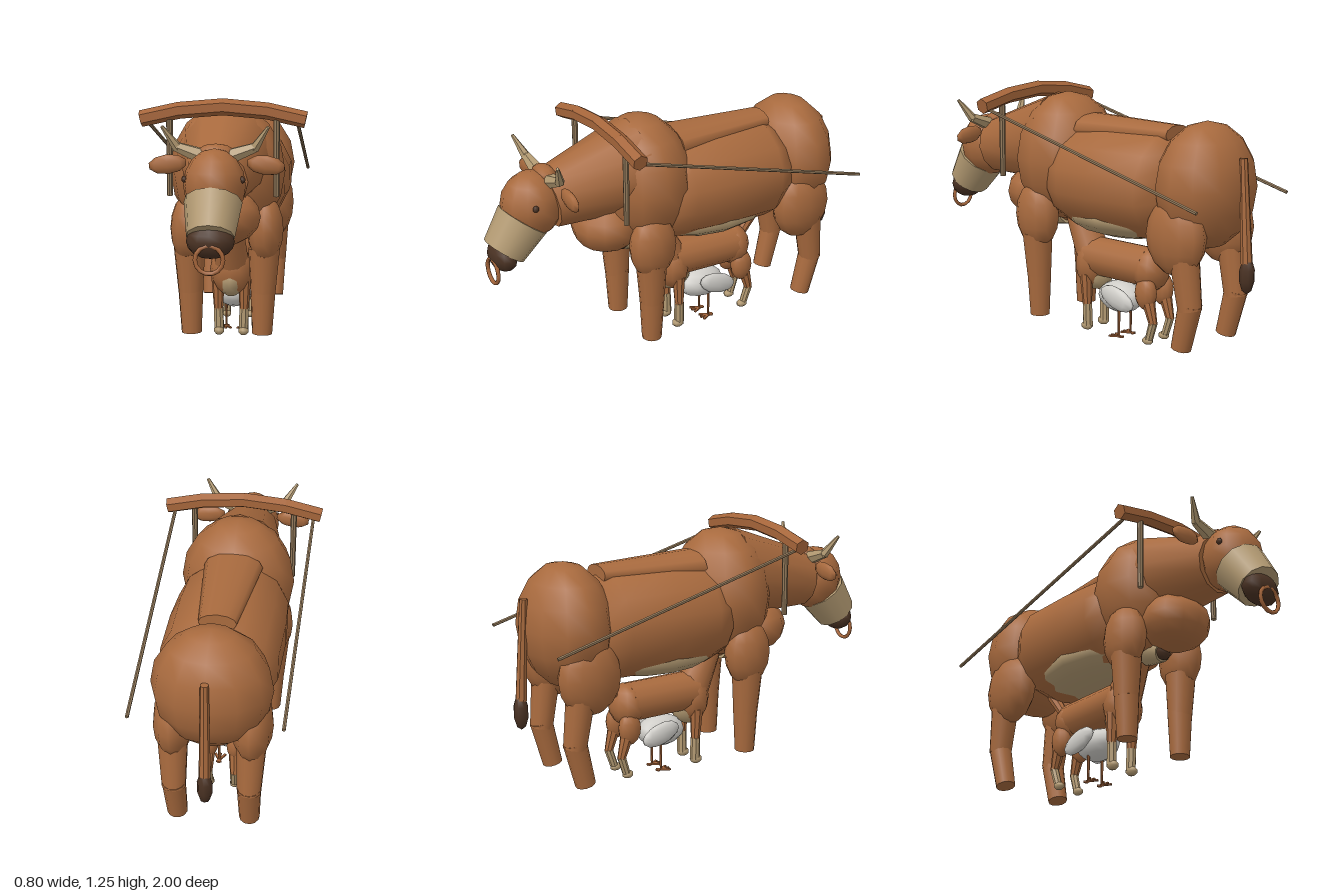
import * as THREE from 'three';
import { toCreasedNormals } from 'three/addons/utils/BufferGeometryUtils.js';

const paint = (name, color) => {
  const m = new THREE.MeshStandardMaterial({ color });
  m.name = name;
  return m;
};

export function createModel() {
  const model = new THREE.Group();
  model.name = 'yokedOx';
  const hide = paint('brown hide', 0xa86a3e);
  const tan = paint('pale tan', 0xb39a72);
  const dark = paint('dark brown', 0x4a3223);
  const white = paint('white feathers', 0xcfcdc8);
  const rope = paint('rope', 0x92795a);
  const wood = paint('yoke wood', 0xa5653a);

  const add = (group, name, geometry, material) => {
    const mesh = new THREE.Mesh(geometry, material);
    mesh.name = name;
    group.add(mesh);
    return mesh;
  };
  // Ellipsoid with given centre and radii
  const ball = (group, name, material, pos, radii, rot = [0, 0, 0], seg = 12) => {
    const mesh = add(group, name, new THREE.SphereGeometry(1, seg, Math.round(seg * 0.66)), material);
    mesh.position.set(...pos);
    mesh.scale.set(...radii);
    mesh.rotation.set(...rot);
    return mesh;
  };
  // Tapered cylinder from point a to point b
  const limb = (group, name, material, a, b, ra, rb, seg = 12) => {
    const p = new THREE.Vector3(...a), q = new THREE.Vector3(...b);
    const d = q.clone().sub(p);
    let geometry = new THREE.CylinderGeometry(rb, ra, d.length(), seg);
    if (seg <= 8) geometry = toCreasedNormals(geometry, 0.6);
    const mesh = add(group, name, geometry, material);
    mesh.position.copy(p).add(q).multiplyScalar(0.5);
    mesh.quaternion.setFromUnitVectors(new THREE.Vector3(0, 1, 0), d.normalize());
    return mesh;
  };
  const part = (name) => {
    const g = new THREE.Group();
    g.name = name;
    model.add(g);
    return g;
  };

  // Ox torso
  const ox = part('ox');
  const profile = [[0, -0.64], [0.2, -0.62], [0.27, -0.5], [0.275, -0.2], [0.265, 0], [0.235, 0.09], [0.15, 0.16], [0, 0.18]];
  const barrel = add(ox, 'barrel', new THREE.LatheGeometry(profile.map((p) => new THREE.Vector2(...p)), 14), hide);
  barrel.rotation.x = Math.PI / 2;
  barrel.position.y = 0.8;
  barrel.scale.x = 1.06;
  ball(ox, 'bellyPatch', tan, [0, 0.63, -0.22], [0.235, 0.115, 0.37]);
  ball(ox, 'shoulderHump', hide, [0, 0.88, 0.17], [0.285, 0.33, 0.25]);
  ball(ox, 'rump', hide, [0, 0.83, -0.715], [0.285, 0.305, 0.22]);
  ball(ox, 'brisket', hide, [0, 0.68, 0.37], [0.18, 0.14, 0.17]);
  const spine = add(ox, 'backRidge', new THREE.CylinderGeometry(0.145, 0.09, 0.54, 12), hide);
  spine.rotation.x = Math.PI / 2 + 0.02;
  spine.scale.z = 0.48;
  spine.position.set(0, 1.05, -0.27);

  // Neck and head
  limb(ox, 'neck', hide, [0, 0.97, 0.2], [0, 0.885, 0.68], 0.235, 0.145);
  ball(ox, 'head', hide, [0, 0.88, 0.76], [0.142, 0.165, 0.155]);
  ball(ox, 'poll', hide, [0, 1.025, 0.69], [0.085, 0.035, 0.05], [0, 0, 0], 8);
  limb(ox, 'muzzle', tan, [0, 0.81, 0.812], [0, 0.67, 0.917], 0.132, 0.108);
  ball(ox, 'nose', dark, [0, 0.652, 0.925], [0.108, 0.078, 0.065]);
  const ring = add(ox, 'noseRing', new THREE.TorusGeometry(0.062, 0.01, 6, 14), wood);
  ring.position.set(0, 0.578, 0.978);

  // Tail
  limb(ox, 'tail', hide, [0, 0.98, -0.925], [0, 0.49, -0.955], 0.02, 0.028, 8);
  ball(ox, 'tailTuft', dark, [0, 0.435, -0.958], [0.038, 0.09, 0.038], [0, 0, 0], 8);

  for (const s of [1, -1]) {
    // Face details
    ball(ox, 'eye', dark, [s * 0.13, 0.91, 0.8], [0.014, 0.016, 0.016], [0, 0, 0], 8);
    limb(ox, 'hornBase', tan, [s * 0.07, 1.005, 0.69], [s * 0.18, 1.045, 0.695], 0.037, 0.024, 6);
    limb(ox, 'hornTip', tan, [s * 0.175, 1.04, 0.695], [s * 0.24, 1.14, 0.735], 0.024, 0.008, 6);
    ball(ox, 'ear', hide, [s * 0.225, 0.962, 0.67], [0.09, 0.045, 0.022], [0, 0, s * -0.12], 8);
    // Front leg
    ball(ox, 'frontShoulder', hide, [s * 0.19, 0.595, 0.21], [0.09, 0.17, 0.125]);
    limb(ox, 'frontUpperLeg', hide, [s * 0.185, 0.5, 0.215], [s * 0.18, 0.28, 0.21], 0.078, 0.062);
    limb(ox, 'frontLowerLeg', hide, [s * 0.18, 0.3, 0.21], [s * 0.176, 0.07, 0.21], 0.063, 0.05);
    // Hind leg
    ball(ox, 'thigh', hide, [s * 0.185, 0.61, -0.685], [0.098, 0.19, 0.165]);
    limb(ox, 'hindUpperLeg', hide, [s * 0.185, 0.52, -0.735], [s * 0.18, 0.27, -0.768], 0.072, 0.058);
    limb(ox, 'hindLowerLeg', hide, [s * 0.18, 0.3, -0.77], [s * 0.176, 0.075, -0.715], 0.058, 0.05);
  }

  // Yoke: arched beam from four hexagonal lengths, stakes and traces
  const yoke = part('yoke');
  const beam = [[-0.39, 1.148], [-0.21, 1.188], [0, 1.206], [0.21, 1.188], [0.39, 1.148]];
  for (let i = 0; i < 4; i++) {
    const [x0, y0] = beam[i], [x1, y1] = beam[i + 1];
    const len = Math.hypot(x1 - x0, y1 - y0);
    const geometry = new THREE.CylinderGeometry(0.04, 0.04, len + 0.006, 6);
    const bar = add(yoke, 'yokeBeam', toCreasedNormals(geometry.rotateY(Math.PI / 6).rotateZ(-Math.PI / 2), 0.6), wood);
    bar.rotation.z = Math.atan2(y1 - y0, x1 - x0);
    bar.position.set((x0 + x1) / 2, (y0 + y1) / 2, 0.39);
  }
  for (const s of [1, -1]) {
    limb(yoke, 'yokeStake', rope, [s * 0.255, 1.16, 0.39], [s * 0.255, 0.78, 0.39], 0.016, 0.014, 8);
    limb(yoke, 'trace', rope, [s * 0.355, 1.13, 0.39], [s * 0.352, 0.775, -0.93], 0.009, 0.009, 6);
  }

  // Calf sheltering under the ox
  const calf = part('calf');
  ball(calf, 'calfChest', hide, [0, 0.35, -0.01], [0.108, 0.135, 0.09]);
  limb(calf, 'calfBarrel', hide, [0, 0.385, 0], [0, 0.38, -0.38], 0.1, 0.1);
  ball(calf, 'calfRump', hide, [0, 0.37, -0.385], [0.105, 0.11, 0.088]);
  ball(calf, 'calfBelly', tan, [0, 0.3, -0.02], [0.07, 0.092, 0.1]);
  limb(calf, 'calfNeck', hide, [0, 0.4, 0], [0, 0.6, 0.1], 0.09, 0.07);
  ball(calf, 'calfHead', hide, [0, 0.61, 0.15], [0.075, 0.07, 0.1]);
  limb(calf, 'calfMuzzle', tan, [0, 0.59, 0.18], [0, 0.555, 0.28], 0.07, 0.05);
  ball(calf, 'calfNose', dark, [0, 0.55, 0.28], [0.045, 0.035, 0.03], [0, 0, 0], 8);
  limb(calf, 'calfTail', hide, [0, 0.43, -0.45], [0, 0.58, -0.56], 0.025, 0.032, 8);
  for (const s of [1, -1]) {
    limb(calf, 'calfFrontUpperLeg', hide, [s * 0.068, 0.3, -0.015], [s * 0.066, 0.135, -0.02], 0.034, 0.023, 8);
    limb(calf, 'calfFrontLowerLeg', tan, [s * 0.066, 0.145, -0.02], [s * 0.063, 0.03, -0.022], 0.025, 0.026, 8);
    ball(calf, 'calfFrontHoof', tan, [s * 0.063, 0.028, -0.015], [0.028, 0.024, 0.034], [0, 0, 0], 8);
    ball(calf, 'calfThigh', hide, [s * 0.065, 0.265, -0.405], [0.045, 0.085, 0.06]);
    limb(calf, 'calfHindUpperLeg', hide, [s * 0.066, 0.22, -0.425], [s * 0.066, 0.115, -0.455], 0.032, 0.021, 8);
    limb(calf, 'calfHindLowerLeg', tan, [s * 0.066, 0.125, -0.455], [s * 0.063, 0.03, -0.425], 0.022, 0.02, 8);
    ball(calf, 'calfHindHoof', tan, [s * 0.063, 0.026, -0.418], [0.024, 0.02, 0.032], [0, 0, 0], 8);
  }

  // White bird standing beneath the calf
  const bird = part('bird');
  ball(bird, 'birdBody', white, [0, 0.2, -0.19], [0.09, 0.08, 0.13]);
  for (const s of [1, -1]) {
    ball(bird, 'birdWing', white, [s * 0.09, 0.212, -0.24], [0.028, 0.055, 0.11], [-0.3, 0, 0], 10);
    limb(bird, 'birdLeg', wood, [s * 0.045, 0.16, -0.215], [s * 0.045, 0.005, -0.215], 0.008, 0.006, 6);
    for (const turn of [-0.5, 0, 0.5]) {
      const toe = add(bird, 'birdToe', new THREE.BoxGeometry(0.012, 0.008, 0.075), wood);
      toe.position.set(s * 0.045 + Math.sin(turn) * 0.018, 0.004, -0.205);
      toe.rotation.y = turn;
    }
  }
  return model;
}
